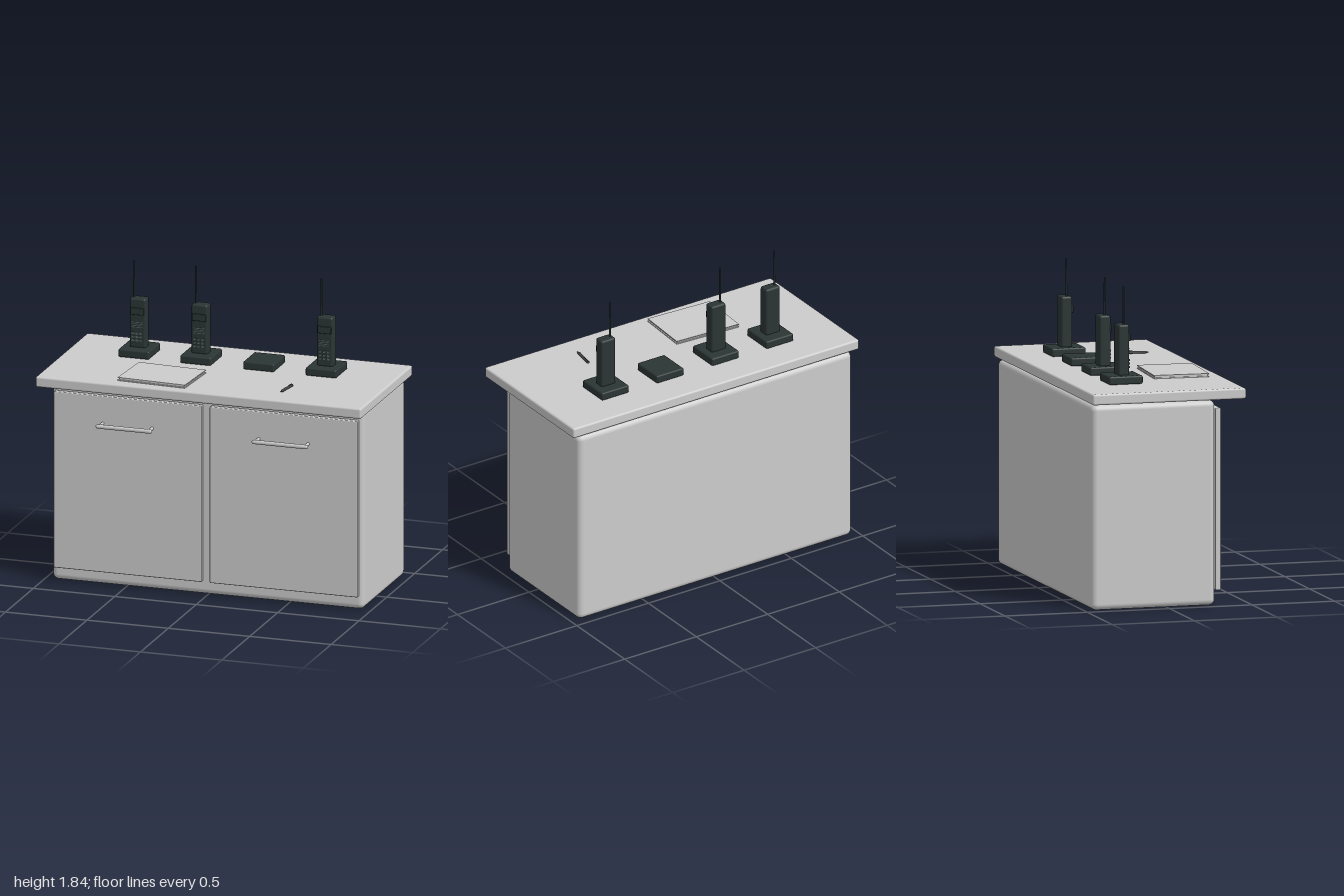
import * as THREE from 'three';
import { RoundedBoxGeometry } from 'three/addons/geometries/RoundedBoxGeometry.js';

const mat = (name, color) => {
  const m = new THREE.MeshStandardMaterial({ color });
  m.name = name;
  return m;
};

export function createModel() {
  const grey = mat('light grey', 0xcccccc);
  const dark = mat('dark slate', 0x2b3534);
  const keyGrey = mat('key grey', 0x5c6766);
  const penGrey = mat('pen charcoal', 0x444646);

  const add = (parent, name, geo, material, x, y, z) => {
    const m = new THREE.Mesh(geo, material);
    m.name = name;
    m.position.set(x, y, z);
    parent.add(m);
    return m;
  };
  const group = (parent, name, x, y, z) => {
    const g = new THREE.Group();
    g.name = name;
    g.position.set(x, y, z);
    parent.add(g);
    return g;
  };
  const rbox = (w, h, d, r, s = 3) => new RoundedBoxGeometry(w, h, d, s, r);

  const model = new THREE.Group();
  model.name = 'cabinetWithPhones';

  // Cabinet and worktop
  add(model, 'cabinetBody', rbox(1.915, 1.205, 0.75, 0.035, 5), grey, 0, 0.6025, -0.083);
  add(model, 'worktop', rbox(2, 0.064, 0.93, 0.012), grey, 0, 1.244, 0);

  // Doors with bar handles
  for (const s of [-1, 1]) {
    const door = group(model, s < 0 ? 'rightDoor' : 'leftDoor', s * 0.479, 0.62, 0.315);
    add(door, 'doorPanel', rbox(0.91, 1.07, 0.035, 0.006, 2), grey, 0, 0, 0);
    const bar = add(door, 'handleBar', new THREE.CapsuleGeometry(0.013, 0.32, 4, 12), grey, 0, 0.37, 0.082);
    bar.rotation.z = Math.PI / 2;
    for (const e of [-1, 1]) {
      const post = add(door, 'handlePost', new THREE.CylinderGeometry(0.009, 0.009, 0.068, 12), grey, e * 0.152, 0.37, 0.047);
      post.rotation.x = Math.PI / 2;
    }
  }

  // Charging docks, one of them empty
  [[-0.577, true], [-0.197, true], [0.19, false], [0.573, true]].forEach(([x, hasPhone]) => {
    const station = group(model, 'chargingStation', x, 1.276, -0.165);
    add(station, 'dock', rbox(0.19, 0.049, 0.206, 0.01), dark, 0, 0.0245, 0);
    if (!hasPhone) return;

    // Handset
    const phone = group(station, 'handset', 0, 0.04, 0);
    add(phone, 'handsetBody', rbox(0.1, 0.305, 0.068, 0.014), dark, 0, 0.1525, 0.001);
    add(phone, 'earpiece', rbox(0.084, 0.042, 0.018, 0.005, 2), dark, 0, 0.227, 0.036);
    add(phone, 'antenna', new THREE.CylinderGeometry(0.005, 0.006, 0.23, 10), dark, -0.03, 0.412, 0.003);
    // Speaker slots
    for (let i = 0; i < 4; i++) {
      add(phone, 'speakerSlot', new THREE.BoxGeometry(0.066, 0.004, 0.004), keyGrey, 0, 0.131 + i * 0.01, 0.036);
    }
    // Keypad
    for (let r = 0; r < 3; r++) {
      for (let c = -1; c <= 1; c++) {
        add(phone, 'key', new THREE.BoxGeometry(0.016, 0.01, 0.008), keyGrey, c * 0.024, 0.052 + r * 0.021, 0.037);
      }
    }
  });

  // Notepad lying slightly turned
  const pad = group(model, 'notepad', -0.303, 1.276, 0.23);
  pad.rotation.y = -0.053;
  add(pad, 'backCover', new THREE.BoxGeometry(0.42, 0.005, 0.33), grey, 0, 0.0025, 0);
  add(pad, 'pages', new THREE.BoxGeometry(0.405, 0.01, 0.316), grey, 0, 0.01, 0);
  add(pad, 'frontCover', new THREE.BoxGeometry(0.42, 0.005, 0.33), grey, 0, 0.0175, 0);

  // Pen
  const pen = group(model, 'pen', 0.465, 1.284, 0.238);
  pen.rotation.y = -0.14;
  const barrel = add(pen, 'penBarrel', new THREE.CylinderGeometry(0.008, 0.008, 0.125, 10), penGrey, 0, 0, -0.01);
  const tip = add(pen, 'penTip', new THREE.ConeGeometry(0.008, 0.025, 10), penGrey, 0, 0, 0.065);
  barrel.rotation.x = tip.rotation.x = Math.PI / 2;
  add(pen, 'penClip', new THREE.BoxGeometry(0.004, 0.004, 0.045), penGrey, 0, 0.009, -0.045);

  return model;
}
